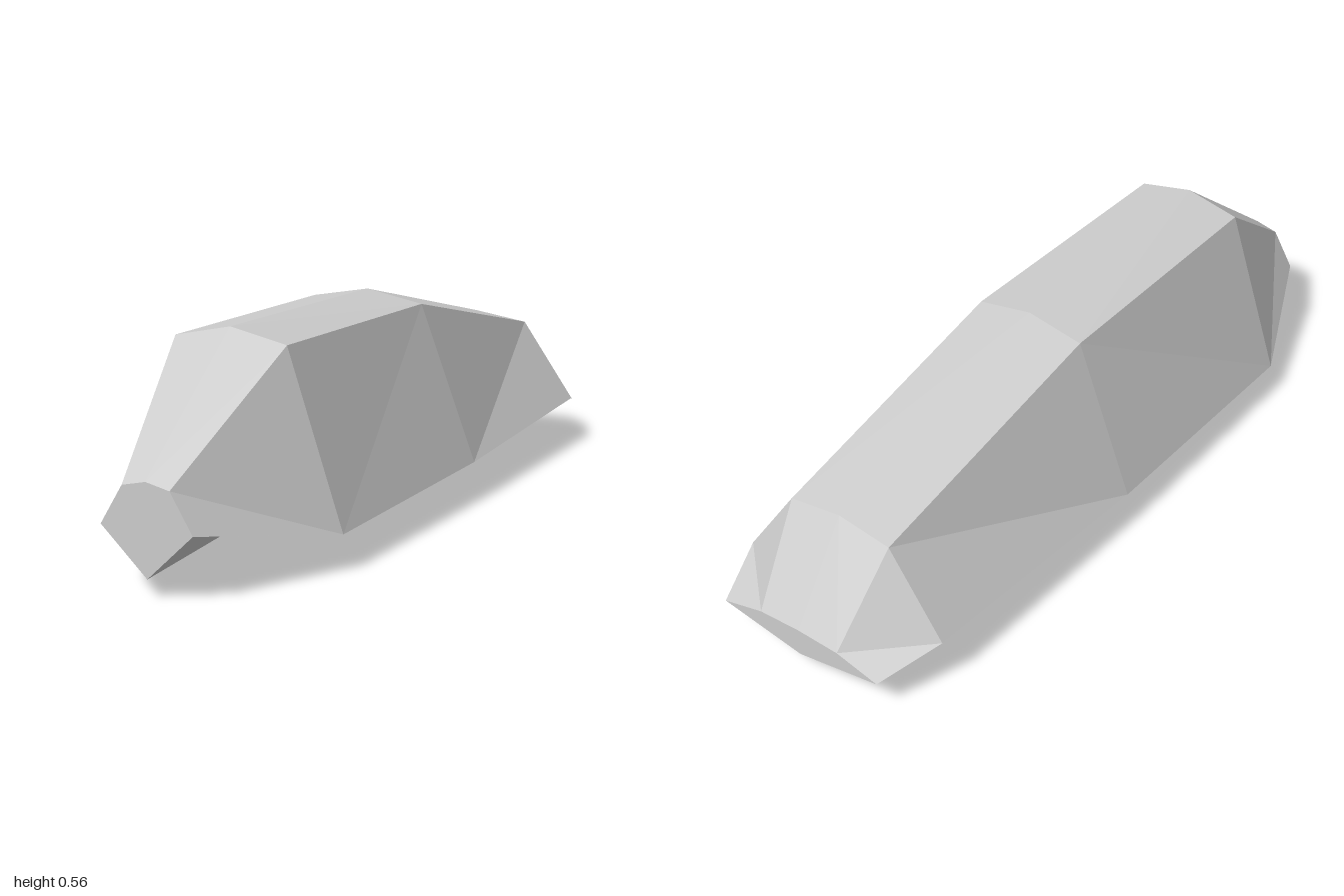
import * as THREE from 'three';

// Cross-sections from front to back: z, then [x, y] of ridge, shoulder, side edge and keel
const sections = [
  { z: 1.0, pts: [[0, 0.272], [0.062, 0.258], [0.12, 0.162], [0, 0.048]] },
  { z: 0.62, pts: [[0, 0.557], [0.15, 0.525], [0.295, 0.092], [0, 0.067]] },
  { z: -0.1, pts: [[0, 0.54], [0.157, 0.511], [0.312, 0.104], [0, 0.058]] },
  { z: -0.835, pts: [[0, 0.366], [0.151, 0.344], [0.302, 0.13], [0, 0.002]] },
  { z: -1.0, pts: [[0, 0.125], [0.12, 0.12], [0.24, 0.09], [0, 0.05]] },
];

// Per strip (roof, flank, underside): does the crease run from front-upper to back-lower?
const crease = [
  [true, true, true, true],
  [true, false, false, false],
  [true, true, false, false],
];

function hullGeometry() {
  const pos = [];
  for (const side of [1, -1]) {
    const point = (s, k) => [side * sections[s].pts[k][0], sections[s].pts[k][1], sections[s].z];
    // mirrored half swaps two corners to keep faces outward
    const tri = (a, b, c) => pos.push(...a, ...(side > 0 ? b : c), ...(side > 0 ? c : b));

    // skin between neighbouring sections
    for (let s = 0; s < sections.length - 1; s++) {
      for (let k = 0; k < 3; k++) {
        const uf = point(s, k), lf = point(s, k + 1);
        const ub = point(s + 1, k), lb = point(s + 1, k + 1);
        if (crease[k][s]) {
          tri(uf, lf, lb);
          tri(uf, lb, ub);
        } else {
          tri(uf, lf, ub);
          tri(lf, lb, ub);
        }
      }
    }

    // end caps
    const last = sections.length - 1;
    for (const k of [1, 2]) {
      tri(point(0, 0), point(0, k + 1), point(0, k));
      tri(point(last, 0), point(last, k), point(last, k + 1));
    }
  }
  const geo = new THREE.BufferGeometry();
  geo.setAttribute('position', new THREE.Float32BufferAttribute(pos, 3));
  geo.computeVertexNormals();
  return geo;
}

export function createModel() {
  const group = new THREE.Group();
  group.name = 'facetedHull';
  const material = new THREE.MeshStandardMaterial({ color: 0xcccccc, flatShading: true });
  const hull = new THREE.Mesh(hullGeometry(), material);
  hull.name = 'hull';
  group.add(hull);
  return group;
}
